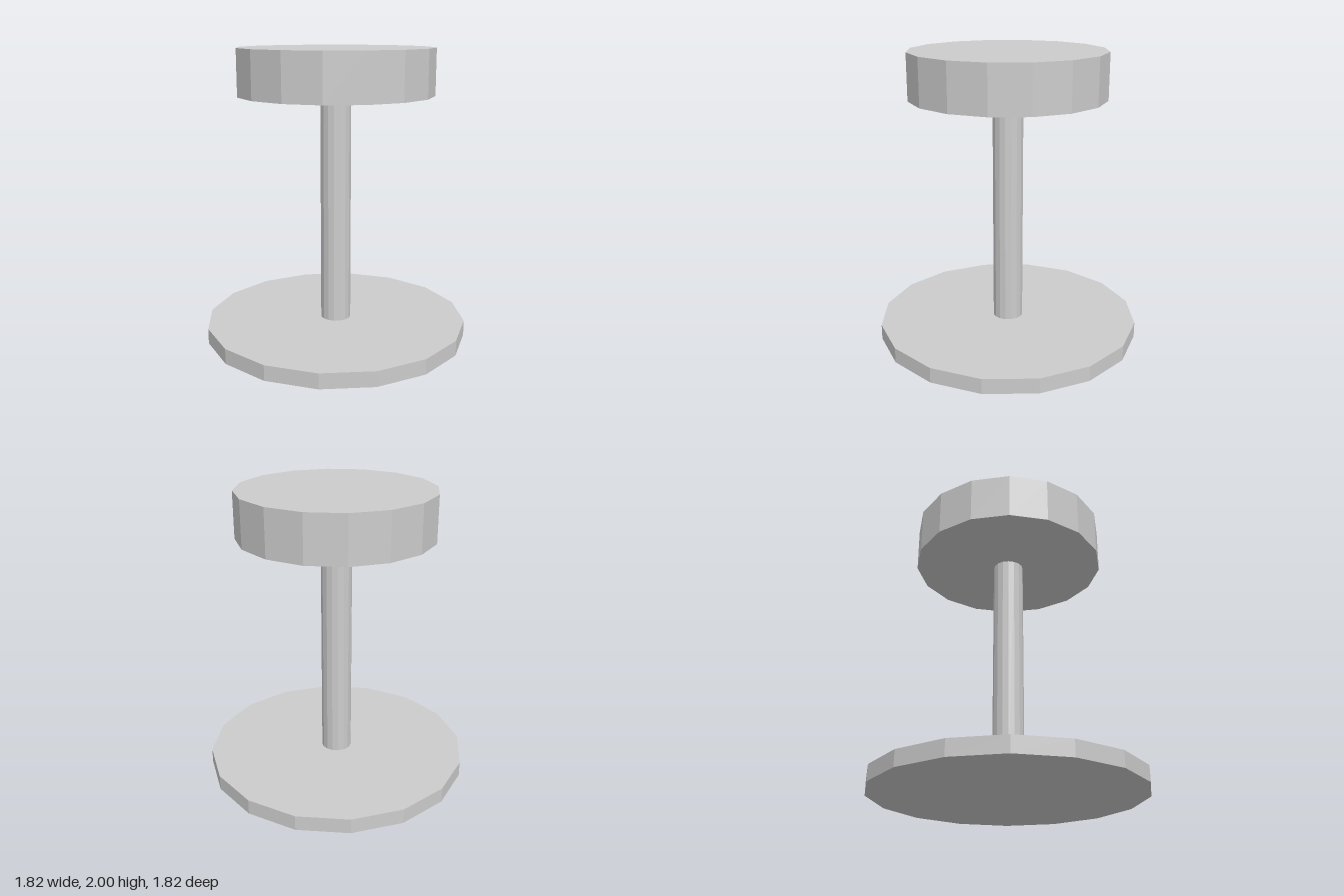
import * as THREE from 'three';

export function createModel() {
  const model = new THREE.Group();
  model.name = 'stool';

  const grey = new THREE.MeshStandardMaterial({ color: 0xcccccc, flatShading: true });
  grey.name = 'light grey';

  // Upright 16-sided disc or post between two heights
  function addDisc(name, radius, bottom, top) {
    const geometry = new THREE.CylinderGeometry(radius, radius, top - bottom, 16);
    const mesh = new THREE.Mesh(geometry, grey);
    mesh.name = name;
    mesh.position.y = (bottom + top) / 2;
    model.add(mesh);
  }

  addDisc('base', 0.912, 0, 0.105);
  addDisc('post', 0.105, 0.105, 1.685);
  addDisc('seat', 0.665, 1.685, 2);

  return model;
}
